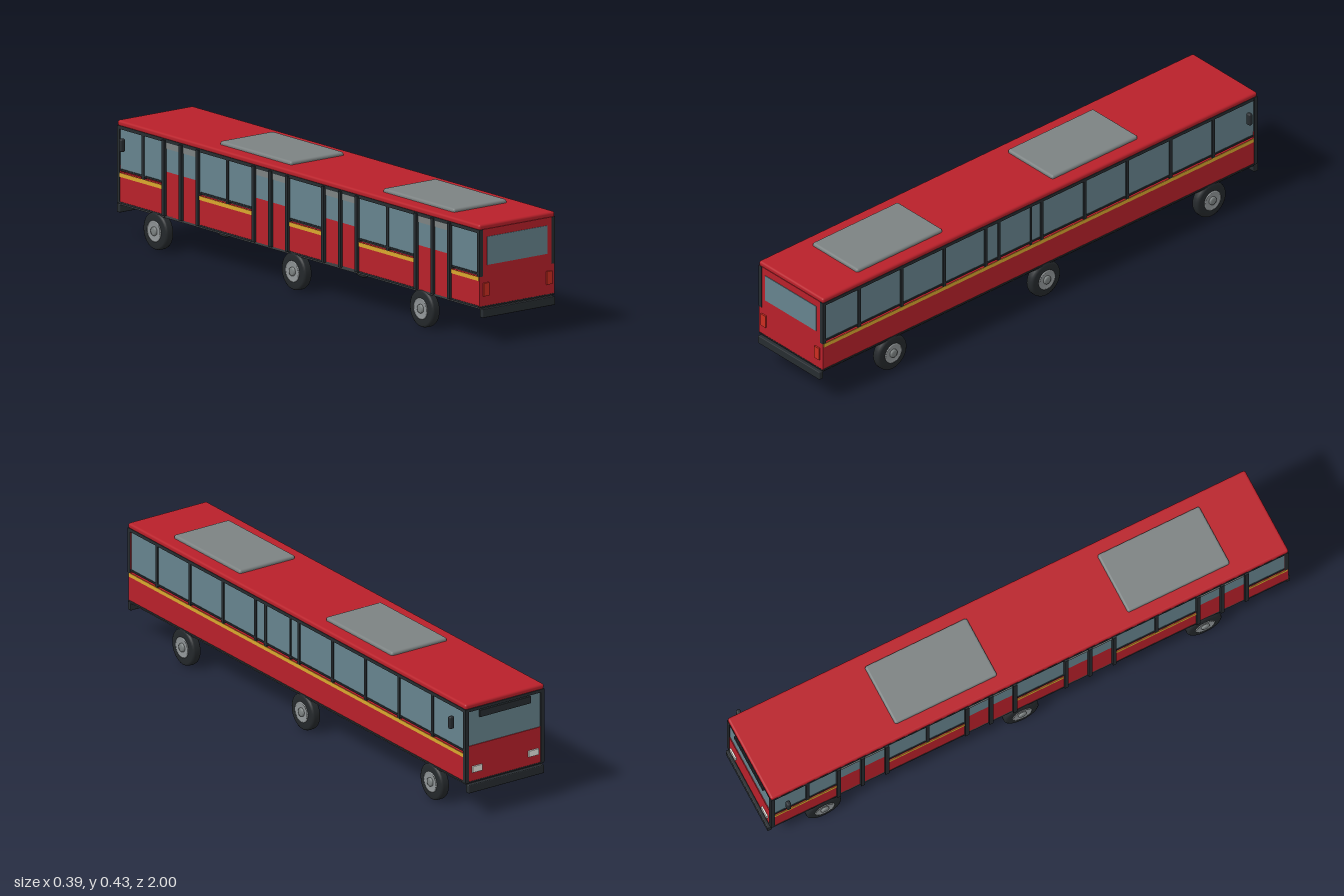
import * as THREE from 'three';
import { RoundedBoxGeometry } from 'three/addons/geometries/RoundedBoxGeometry.js';

const mat = (color) => new THREE.MeshStandardMaterial({ color });

export function createModel() {
  const bus = new THREE.Group();
  bus.name = 'bus';
  const red = mat(0xb8202a), glass = mat(0x66838d), dark = mat(0x272c30), gold = mat(0xd9a62e);
  const grey = mat(0x7c8282), floorGrey = mat(0x3c4042), tyreMat = mat(0x24282b);
  const rimMat = mat(0x8f9496), lampRed = mat(0xcc2c20), lampWhite = mat(0xe6e6e0);

  // Box given by its limits on each axis; r rounds the edges
  const box = (name, m, [x0, x1], [y0, y1], [z0, z1], r = 0, parent = bus) => {
    const s = [x1 - x0, y1 - y0, z1 - z0];
    const g = r ? new RoundedBoxGeometry(...s, 3, r) : new THREE.BoxGeometry(...s);
    const mesh = new THREE.Mesh(g, m);
    mesh.name = name;
    mesh.position.set((x0 + x1) / 2, (y0 + y1) / 2, (z0 + z1) / 2);
    parent.add(mesh);
    return mesh;
  };
  // Thin slab on one side wall, from depth a to b outwards
  const slab = (name, m, side, a, b, y, z) =>
    box(name, m, side > 0 ? [a, b] : [-b, -a], y, z);

  // Floor and roof
  box('floor', floorGrey, [-0.16, 0.16], [0.122, 0.134], [-0.985, 0.985]);
  box('roof', red, [-0.165, 0.165], [0.398, 0.418], [-0.99, 0.99], 0.008);
  for (const z of [-0.295, 0.595])
    box('roofUnit', grey, [-0.116, 0.116], [0.41, 0.43], [z - 0.195, z + 0.195], 0.008);

  // Side walls: lower panel, stripe, glazing and rails
  const doors = [-0.64, -0.15, 0.23, 0.735];
  const doorHalf = 0.092;
  const fullSpan = [[-0.985, 0.985]];
  const edges = [-0.985, ...doors.flatMap((d) => [d - doorHalf, d + doorHalf]), 0.985];
  const doorSpans = [];
  for (let i = 0; i < edges.length; i += 2) doorSpans.push([edges[i], edges[i + 1]]);

  for (const side of [1, -1]) {
    for (const z of side > 0 ? fullSpan : doorSpans) {
      slab('sidePanel', red, side, 0.15, 0.163, [0.13, 0.236], z);
      slab('sideStripe', gold, side, 0.16, 0.1645, [0.221, 0.235], z);
      slab('sideGlass', glass, side, 0.152, 0.16, [0.247, 0.392], z);
      slab('windowSill', dark, side, 0.153, 0.163, [0.243, 0.249], z);
      slab('sillTrim', dark, side, 0.155, 0.1645, [0.128, 0.134], z);
    }
    slab('windowHeader', dark, side, 0.15, 0.164, [0.388, 0.4], [-0.988, 0.988]);
    for (const z of [-0.982, 0.984])
      slab('cornerPost', dark, side, 0.15, 0.165, [z < 0 ? 0.13 : 0.236, 0.4], [z - 0.008, z + 0.006]);
  }

  // Window pillars: regular on the left, between the doors on the right
  const pillar = (side, z, w = 0.006) =>
    slab('windowPillar', dark, side, 0.15, 0.164, [0.233, 0.392], [z - w, z + w]);
  [0.823, 0.628, 0.435, 0.245, 0.185, -0.01, -0.206, -0.4, -0.597, -0.792].forEach((z) => pillar(1, z));
  pillar(1, 0.04, 0.003);
  [-0.85, -0.39, 0.485].forEach((z) => pillar(-1, z));

  // Doors: two leaves with dark frames
  for (const d of doors) {
    const z = [d - doorHalf, d + doorHalf];
    slab('doorPanel', red, -1, 0.15, 0.16, [0.13, 0.285], z);
    slab('doorGlass', glass, -1, 0.15, 0.16, [0.285, 0.368], z);
    slab('doorHeader', grey, -1, 0.15, 0.162, [0.366, 0.39], z);
    for (const k of [-1, 0, 1])
      slab('doorFrame', dark, -1, 0.15, 0.17, [0.13, 0.396],
        [d + k * doorHalf - 0.007, d + k * doorHalf + 0.007]);
  }

  // Tail end: wall, window and lamps
  box('tailWall', red, [-0.163, 0.163], [0.13, 0.4], [0.975, 0.989]);
  box('tailWindow', glass, [-0.131, 0.131], [0.274, 0.373], [0.98, 0.991]);
  box('tailTrim', dark, [-0.163, 0.163], [0.127, 0.132], [0.978, 0.99]);

  // Windscreen end: lower panel, glass, frame and blank sign bar
  box('nosePanel', red, [-0.163, 0.163], [0.13, 0.262], [-0.989, -0.975]);
  box('windscreen', glass, [-0.155, 0.155], [0.262, 0.395], [-0.986, -0.978]);
  box('windscreenHeader', dark, [-0.16, 0.16], [0.389, 0.4], [-0.99, -0.976]);
  box('noseTrim', dark, [-0.163, 0.163], [0.127, 0.132], [-0.99, -0.978]);
  box('signBar', dark, [-0.106, 0.106], [0.361, 0.386], [-0.993, -0.982]);

  // Mirrored lamps and mirrors
  for (const s of [1, -1]) {
    const span = (a, b) => (s > 0 ? [a, b] : [-b, -a]);
    box('tailLamp', lampRed, span(0.125, 0.149), [0.167, 0.213], [0.985, 0.995]);
    box('headLamp', lampWhite, span(0.098, 0.138), [0.164, 0.186], [-0.995, -0.985]);
    box('mirror', dark, span(0.176, 0.196), [0.319, 0.365], [-0.943, -0.927], 0.006);
  }

  // Bumpers
  for (const s of [1, -1])
    box('bumper', dark, [-0.158, 0.158], [0.093, 0.123], s > 0 ? [0.982, 1] : [-1, -0.982], 0.003);

  // Wheels: lathed tyre with rim and hub, axis along x
  const lathe = (name, m, pts, parent) => {
    const g = new THREE.LatheGeometry(pts.map((p) => new THREE.Vector2(...p)), 32);
    const mesh = new THREE.Mesh(g, m);
    mesh.name = name;
    mesh.rotation.z = -Math.PI / 2;
    parent.add(mesh);
  };
  for (const z of [0.67, -0.03, -0.785]) for (const s of [1, -1]) {
    const wheel = new THREE.Group();
    wheel.name = 'wheel';
    wheel.position.set(s * 0.147, 0.066, z);
    if (s < 0) wheel.rotation.y = Math.PI;
    lathe('tyre', tyreMat, [[0, -0.017], [0.058, -0.017], [0.064, -0.013], [0.066, -0.008],
      [0.066, 0.009], [0.064, 0.014], [0.058, 0.018], [0.036, 0.018], [0, 0.016]], wheel);
    lathe('rim', rimMat, [[0.037, 0.014], [0.037, 0.02], [0.033, 0.021], [0.028, 0.018], [0, 0.018]], wheel);
    lathe('hub', grey, [[0.016, 0.016], [0.015, 0.023], [0.01, 0.025], [0, 0.025]], wheel);
    bus.add(wheel);
  }

  return bus;
}
